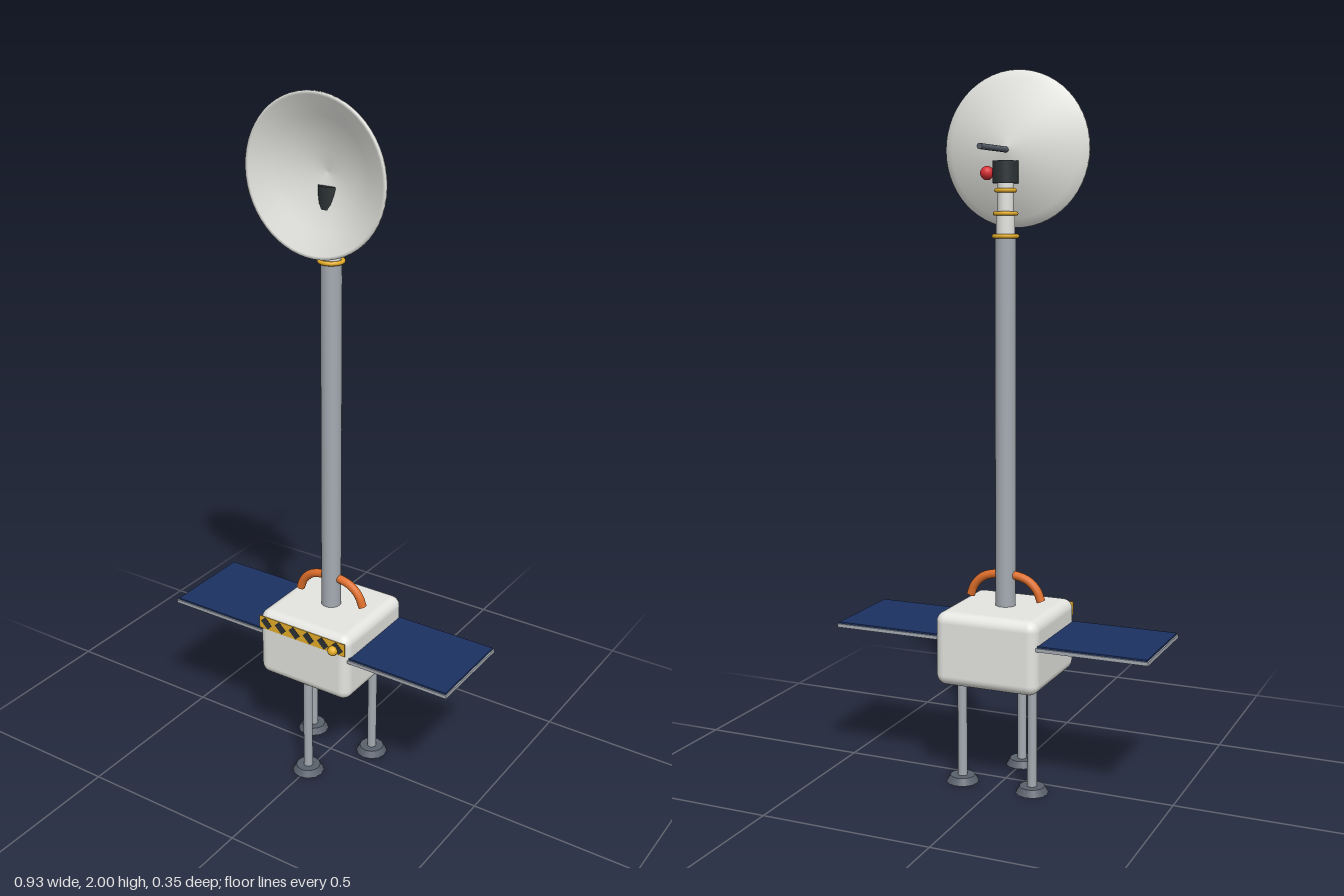
import * as THREE from 'three';
import { RoundedBoxGeometry } from 'three/addons/geometries/RoundedBoxGeometry.js';

const mat = (name, color) => {
  const m = new THREE.MeshStandardMaterial({ color });
  m.name = name;
  return m;
};

export function createModel() {
  const white = mat('white shell', 0xe4e5e0);
  const metal = mat('light metal', 0xa5abb2);
  const dark = mat('dark steel', 0x59616c);
  const black = mat('black', 0x2c3235);
  const blue = mat('solar blue', 0x1c3161);
  const orange = mat('orange', 0xde6e2a);
  const gold = mat('gold', 0xe6ae28);
  const red = mat('red', 0xd92f35);

  const model = new THREE.Group();
  model.name = 'relayStation';
  const add = (name, geometry, material, x = 0, y = 0, z = 0) => {
    const mesh = new THREE.Mesh(geometry, material);
    mesh.name = name;
    mesh.position.set(x, y, z);
    model.add(mesh);
    return mesh;
  };
  // Upright cylinder between two heights
  const post = (name, rTop, rBottom, y0, y1, material, x = 0, z = 0, sides = 24) =>
    add(name, new THREE.CylinderGeometry(rTop, rBottom, y1 - y0, sides), material, x, (y0 + y1) / 2, z);

  // Body
  add('body', new RoundedBoxGeometry(0.307, 0.21, 0.307, 5, 0.03), white, 0, 0.411, 0);

  // Tripod legs with wide feet
  for (let i = 0; i < 3; i++) {
    const a = (i * Math.PI * 2) / 3;
    const x = 0.124 * Math.sin(a), z = 0.124 * Math.cos(a);
    post('leg', 0.0135, 0.0135, 0.015, 0.33, metal, x, z, 16);
    post('foot', 0.036, 0.047, 0, 0.019, dark, x, z, 12);
  }

  // Solar wings: frame plus blue cell sheet on top
  for (const s of [-1, 1]) {
    add('panelFrame', new THREE.BoxGeometry(0.327, 0.01, 0.282), metal, s * 0.303, 0.4395, 0.001);
    add('solarCells', new THREE.BoxGeometry(0.319, 0.005, 0.274), blue, s * 0.303, 0.447, 0.001);
  }

  // Warning strip with slanted bars
  add('warningStrip', new THREE.BoxGeometry(0.294, 0.04, 0.002), gold, 0, 0.482, 0.154);
  const barGeometry = new THREE.BoxGeometry(0.021, 0.033, 0.001);
  for (let i = 0; i < 6; i++) {
    add('warningBar', barGeometry, black, (i - 2.5) * 0.049, 0.482, 0.1553).rotation.z = Math.PI / 4;
  }
  add('frontLamp', new THREE.SphereGeometry(0.0145, 20, 14), gold, 0.11, 0.473, 0.16);

  // Arched carrying handle
  const arch = [[-0.108, 0.536], [-0.095, 0.567], [-0.065, 0.594], [0, 0.606],
    [0.065, 0.594], [0.095, 0.567], [0.108, 0.536]].map(([x, y]) => new THREE.Vector3(x, y, 0));
  add('handle', new THREE.TubeGeometry(new THREE.CatmullRomCurve3(arch), 36, 0.0125, 12), orange);
  for (const s of [-1, 1]) {
    const cap = add('handleEnd', new THREE.CircleGeometry(0.0125, 12), orange, s * 0.108, 0.536, 0);
    cap.rotation.set(Math.PI / 2, s * 0.39, 0);
  }

  // Telescoping mast: long metal tube, pale upper stages, gold collars
  post('mastLower', 0.029, 0.029, 0.5, 1.55, metal);
  post('mastMiddle', 0.026, 0.026, 1.55, 1.611, white);
  post('mastUpper', 0.022, 0.022, 1.611, 1.7, white);
  for (const [y, r] of [[1.55, 0.032], [1.611, 0.029], [1.673, 0.025]]) {
    add('collar', new THREE.TorusGeometry(r, 0.006, 10, 32), gold, 0, y, 0).rotation.x = Math.PI / 2;
  }

  // Pivot head with signal lamp and rear aerial
  post('pivotHead', 0.035, 0.035, 1.692, 1.752, black);
  add('signalLamp', new THREE.SphereGeometry(0.019, 20, 14), red, 0.055, 1.72, 0);
  const aerial = post('aerial', 0.008, 0.008, 0, 0.174, dark, 0, 0, 12);
  aerial.rotation.x = Math.PI / 2;
  aerial.position.set(0, 1.782, -0.085);

  // Dish: thin shell turned around the z axis, back surface then bowl
  const profile = [
    [0, 0], [0.05, 0.009], [0.1, 0.023], [0.15, 0.042], [0.19, 0.061], [0.2135, 0.074],
    [0.2135, 0.082], [0.205, 0.082], [0.15, 0.054], [0.1, 0.035], [0.05, 0.022], [0, 0.014],
  ].map(([r, z]) => new THREE.Vector2(r, z));
  const dish = add('dish', new THREE.LatheGeometry(profile, 56), white, 0, 1.7865, 0);
  dish.rotation.x = Math.PI / 2;

  // Centre the depth
  const root = new THREE.Group();
  model.position.z = -0.003;
  root.add(model);
  return root;
}
